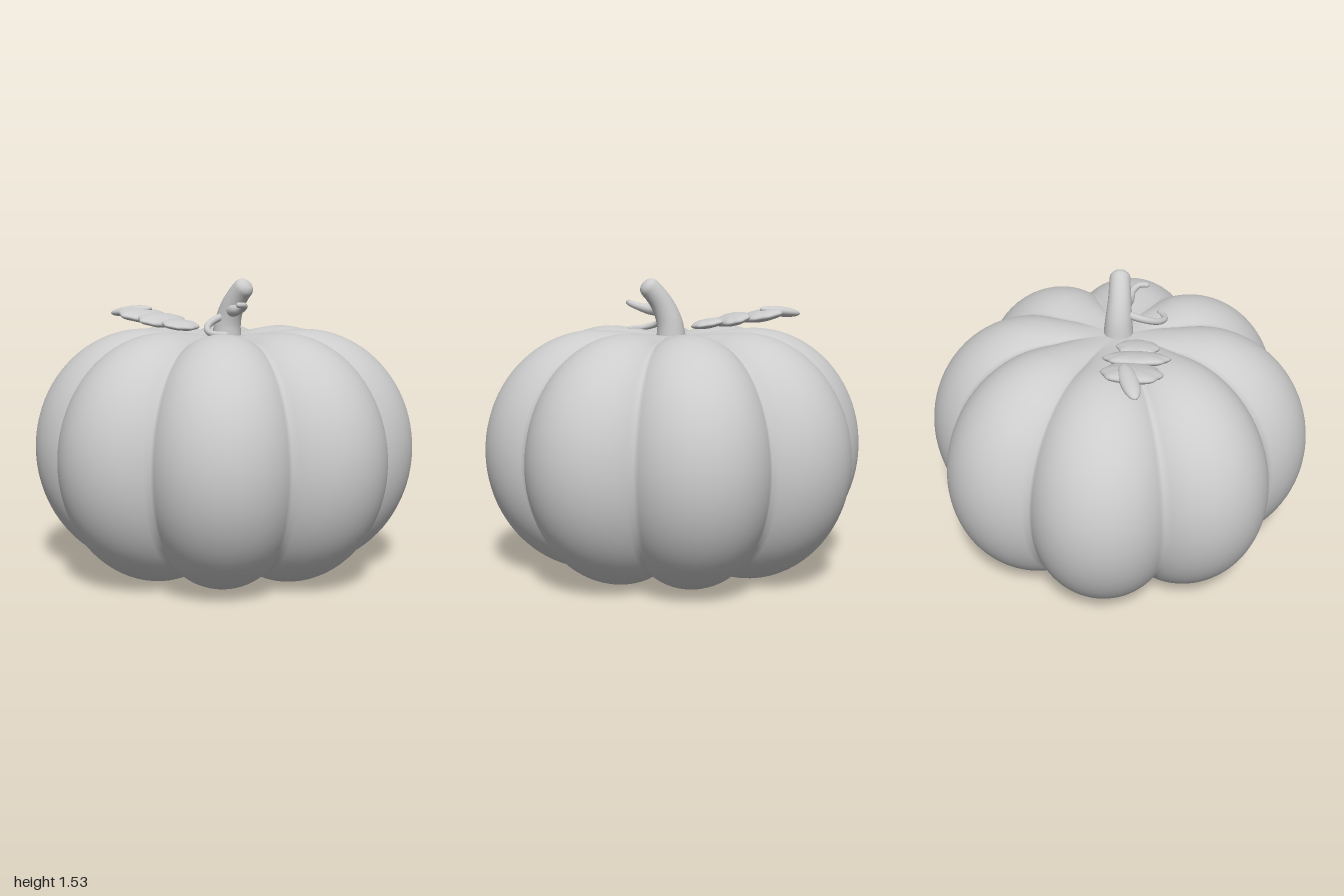
import * as THREE from 'three';
import { mergeVertices } from 'three/addons/utils/BufferGeometryUtils.js';

const grey = new THREE.MeshStandardMaterial({ color: 0xcccccc });
grey.name = 'plain grey';

// Weld seams and recompute smooth normals
function smooth(geometry) {
  geometry.deleteAttribute('uv');
  geometry.deleteAttribute('normal');
  const welded = mergeVertices(geometry, 1e-5);
  welded.computeVertexNormals();
  return welded;
}

function part(name, geometry) {
  const mesh = new THREE.Mesh(geometry, grey);
  mesh.name = name;
  return mesh;
}

// Outline of eight overlapping round lobes, 1 at each crest
function lobeRadius(angle) {
  const step = Math.PI / 4;
  const a = angle - Math.round(angle / step) * step;
  const d = 0.63, r = 0.37;
  return d * Math.cos(a) + Math.sqrt(r * r - (d * Math.sin(a)) ** 2);
}

// Ribbed body: a lathed crest profile pinched in between the lobes
function bodyGeometry() {
  const midY = 0.635;
  const points = [[0, 0.055], [0.08, 0.052], [0.16, 0.04], [0.24, 0.024], [0.32, 0.009]]
    .map(([r, y]) => new THREE.Vector2(r, y));
  const steps = 44;
  for (let i = 0; i <= steps; i++) {
    const t = -Math.PI / 2 + (Math.PI * i) / steps;
    points.push(new THREE.Vector2(0.42 + 0.58 * Math.cos(t), midY + 0.633 * Math.sin(t)));
  }
  for (const [r, y] of [[0.34, 1.264], [0.26, 1.257], [0.18, 1.246], [0.1, 1.237], [0, 1.235]]) {
    points.push(new THREE.Vector2(r, y));
  }
  const geometry = new THREE.LatheGeometry(points, 192);
  const p = geometry.attributes.position;
  for (let i = 0; i < p.count; i++) {
    const x = p.getX(i), y = p.getY(i), z = p.getZ(i);
    const fade = THREE.MathUtils.smoothstep(Math.hypot(x, z), 0.08, 0.45);
    const pinch = (1 - lobeRadius(Math.atan2(x, z))) * fade;
    p.setXYZ(i, x * (1 - pinch), midY + (y - midY) * (1 - 0.55 * pinch), z * (1 - pinch));
  }
  return smooth(geometry);
}

// Tube whose radius follows a rule along its path
function taperedTube(points, radiusAt, rings, sides) {
  const path = new THREE.CatmullRomCurve3(points.map((q) => new THREE.Vector3(...q)));
  const geometry = new THREE.TubeGeometry(path, rings, 1, sides);
  const p = geometry.attributes.position;
  const v = new THREE.Vector3();
  for (let i = 0; i < p.count; i++) {
    const u = Math.floor(i / (sides + 1)) / rings;
    const centre = path.getPointAt(u);
    v.fromBufferAttribute(p, i).sub(centre).multiplyScalar(radiusAt(u)).add(centre);
    p.setXYZ(i, v.x, v.y, v.z);
  }
  return smooth(geometry);
}

// Radius with a rounded closed end
const roundEnd = (u, start) => (u < start ? 1 : Math.sqrt(Math.max(0, 1 - ((u - start) / (1 - start)) ** 2)));

// Thin lens with a gently scalloped rim
function leafLobe(halfX, halfY, halfZ, scallop) {
  const geometry = new THREE.SphereGeometry(1, 40, 16);
  const p = geometry.attributes.position;
  for (let i = 0; i < p.count; i++) {
    const a = Math.atan2(p.getZ(i), p.getX(i));
    const k = 1 + scallop * Math.cos(8 * a);
    p.setXYZ(i, p.getX(i) * k * halfX, p.getY(i) * halfY, p.getZ(i) * k * halfZ);
  }
  return smooth(geometry);
}

export function createModel() {
  const model = new THREE.Group();
  model.name = 'pumpkin';
  model.add(part('body', bodyGeometry()));

  // Bent stem with a flared foot and a blunt end
  model.add(part('stem', taperedTube(
    [[0.02, 1.2, 0], [0.03, 1.3, 0], [0.065, 1.39, 0], [0.115, 1.46, -0.005], [0.17, 1.512, -0.01]],
    (u) => (0.052 + 0.028 * (1 - u) ** 1.5) * roundEnd(u, 0.88), 48, 24)));

  // Curling tendrils
  model.add(part('lowerTendril', taperedTube(
    [[0.04, 1.34, 0.03], [0.03, 1.325, 0.08], [0.045, 1.3, 0.15], [0.085, 1.275, 0.2],
      [0.145, 1.26, 0.225], [0.19, 1.258, 0.21], [0.225, 1.258, 0.18]],
    (u) => (0.02 - 0.006 * u) * roundEnd(u, 0.93), 48, 12)));
  model.add(part('upperTendril', taperedTube(
    [[0.08, 1.37, 0.02], [0.13, 1.37, 0.04], [0.19, 1.385, 0.05], [0.228, 1.4, 0.08], [0.23, 1.403, 0.135]],
    (u) => (0.014 + 0.025 * (1 - u) ** 2) * roundEnd(u, 0.92), 40, 12)));

  // Wavy leaf made of overlapping tilted lobes: centre, half sizes, turn, tilt, scallop
  const leaf = new THREE.Group();
  leaf.name = 'leaf';
  const lobes = [
    ['leafBase', [-0.2, 1.285, 0.125], [0.09, 0.025, 0.105], 0, -0.18, 0.04],
    ['leafMiddle', [-0.335, 1.305, 0.135], [0.09, 0.03, 0.16], 0.08, -0.28, 0.04],
    ['leafUpper', [-0.5, 1.325, 0.13], [0.115, 0.032, 0.145], 0, -0.2, 0.04],
    ['leafTip', [-0.6, 1.345, 0.13], [0.13, 0.028, 0.045], 0.35, 0.12, 0],
  ];
  for (const [name, centre, half, turn, tilt, scallop] of lobes) {
    const lobe = part(name, leafLobe(...half, scallop));
    lobe.position.set(...centre);
    lobe.rotation.set(0, turn, tilt);
    leaf.add(lobe);
  }
  model.add(leaf);
  return model;
}
